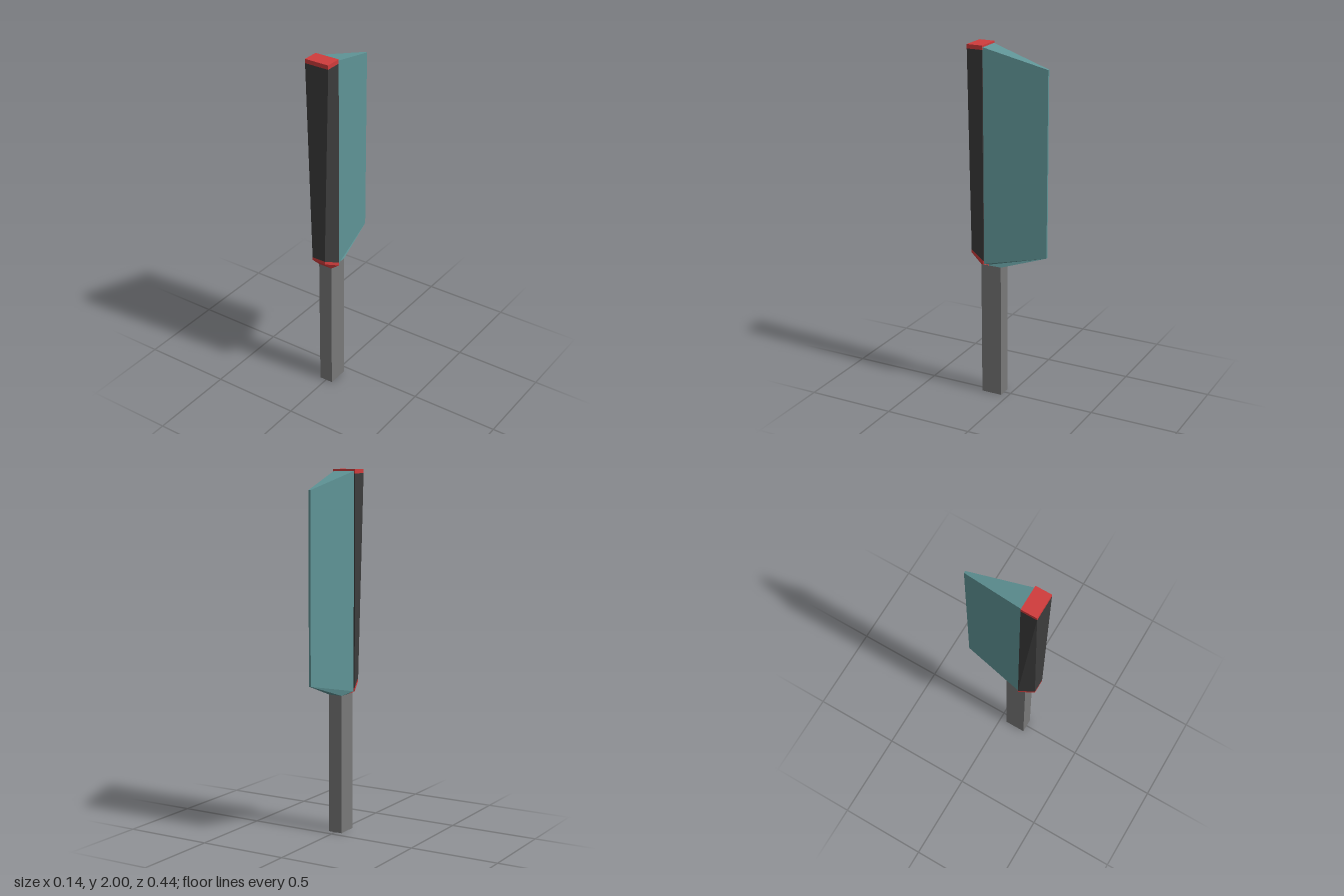
import * as THREE from 'three';

// A cross-section of four corners: half widths, heights and depths at its back and front edges
const ring = (backW, frontW, backY, frontY, backZ, frontZ) => [
  [-backW, backY, backZ], [backW, backY, backZ],
  [frontW, frontY, frontZ], [-frontW, frontY, frontZ],
];

// Skin a list of rings, ordered from top to bottom, and close both ends
function loft(name, color, rings) {
  const pos = [];
  const quad = (a, b, c, d) => [a, b, c, a, c, d].forEach((p) => pos.push(...p));
  for (let r = 0; r < rings.length - 1; r++) {
    const A = rings[r], B = rings[r + 1];
    for (let i = 0; i < 4; i++) {
      const j = (i + 1) % 4;
      quad(A[i], A[j], B[j], B[i]);
    }
  }
  const top = rings[0], bottom = rings[rings.length - 1];
  quad(top[0], top[3], top[2], top[1]);
  quad(...bottom);
  const geometry = new THREE.BufferGeometry();
  geometry.setAttribute('position', new THREE.Float32BufferAttribute(pos, 3));
  geometry.computeVertexNormals();
  const mesh = new THREE.Mesh(geometry, new THREE.MeshStandardMaterial({ color, flatShading: true }));
  mesh.name = name;
  return mesh;
}

export function createModel() {
  const model = new THREE.Group();
  model.name = 'cleaver';
  const red = 0xd03c3c;

  // Square grip below the blade
  const handle = new THREE.Mesh(
    new THREE.BoxGeometry(0.08, 0.775, 0.12),
    new THREE.MeshStandardMaterial({ color: 0x787878, flatShading: true }),
  );
  handle.name = 'handle';
  handle.position.set(0, 0.3875, 0.1);

  // Wedge blade with a thin rear edge, its heel narrowing to the handle
  const blade = loft('blade', 0x5f9496, [
    ring(0.006, 0.063, 1.895, 1.99, -0.22, 0.13),
    ring(0.006, 0.063, 0.862, 0.789, -0.22, 0.13),
    ring(0.04, 0.04, 0.775, 0.775, 0.04, 0.13),
  ]);

  // Dark spine, its front face narrowing downwards
  const spineFoot = ring(0.07, 0.04, 0.808, 0.85, 0.13, 0.22);
  const spineHead = ring(0.07, 0.07, 1.977, 1.977, 0.13, 0.22);
  const spine = loft('spine', 0x3c3c3c, [spineHead, spineFoot]);

  // Red bands closing the spine at both ends
  const cap = loft('topCap', red, [ring(0.07, 0.07, 2, 2, 0.13, 0.22), spineHead]);
  const collar = loft('lowerCollar', red, [
    spineFoot,
    ring(0.07, 0.04, 0.789, 0.833, 0.13, 0.22),
    ring(0.04, 0.04, 0.775, 0.775, 0.11, 0.16),
  ]);

  model.add(handle, blade, spine, cap, collar);
  return model;
}
